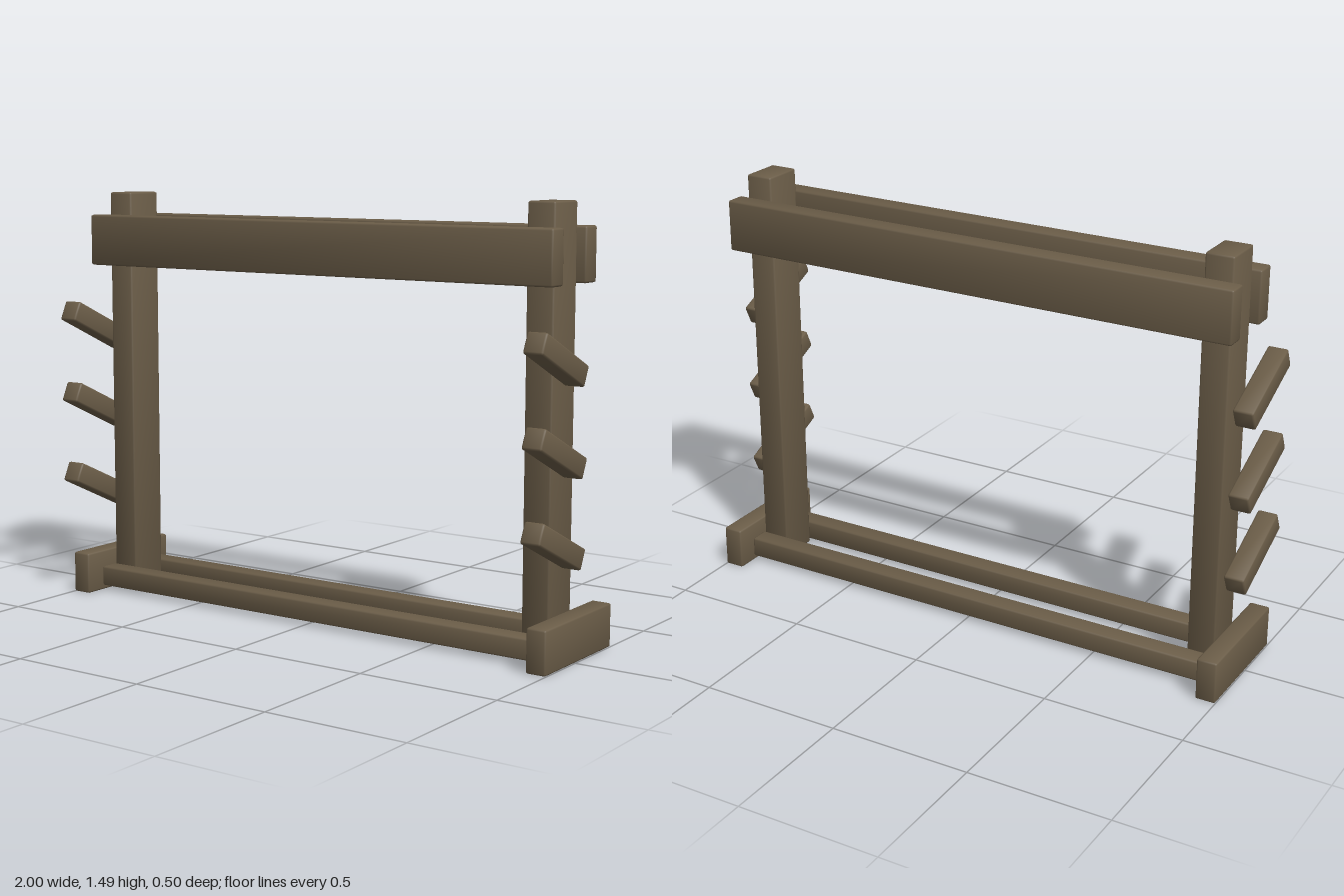
import * as THREE from 'three';
import { RoundedBoxGeometry } from 'three/addons/geometries/RoundedBoxGeometry.js';

const wood = new THREE.MeshStandardMaterial({ color: 0x6b5d48 });

// Timber with softly broken edges; normals lean outwards for a worn, soft shading
function timber(name, w, h, d, x, y, z) {
  const geometry = new RoundedBoxGeometry(w, h, d, 1, 0.007);
  const p = geometry.attributes.position;
  const n = geometry.attributes.normal;
  const v = new THREE.Vector3();
  for (let i = 0; i < p.count; i++) {
    v.fromBufferAttribute(n, i);
    v.x += 0.25 * Math.sign(p.getX(i));
    v.y += 0.25 * Math.sign(p.getY(i));
    v.z += 0.25 * Math.sign(p.getZ(i));
    v.normalize();
    n.setXYZ(i, v.x, v.y, v.z);
  }
  const mesh = new THREE.Mesh(geometry, wood);
  mesh.name = name;
  mesh.position.set(x, y, z);
  return mesh;
}

export function createModel() {
  const model = new THREE.Group();
  model.name = 'woodenRack';

  // Uprights, feet and slanted pegs on both ends
  for (const [side, s] of [['left', 1], ['right', -1]]) {
    model.add(timber(side + 'Post', 0.1, 1.48, 0.15, s * 0.877, 0.745, -0.025));
    model.add(timber(side + 'Foot', 0.072, 0.15, 0.45, s * 0.964, 0.075, -0.025));
    for (let i = 0; i < 3; i++) {
      const peg = timber(side + 'Peg' + (i + 1), 0.072, 0.074, 0.31, s * 0.964, 0.398 + i * 0.298, 0.095);
      peg.rotation.x = -0.436;
      model.add(peg);
    }
  }

  // Paired top beams and bottom rails clamping the uprights
  for (const [face, z] of [['front', 0.085], ['back', -0.137]]) {
    model.add(timber(face + 'TopBeam', 1.92, 0.183, 0.073, 0, 1.312, z));
    model.add(timber(face + 'BottomRail', 1.86, 0.073, 0.073, 0, 0.053, z));
  }
  return model;
}
